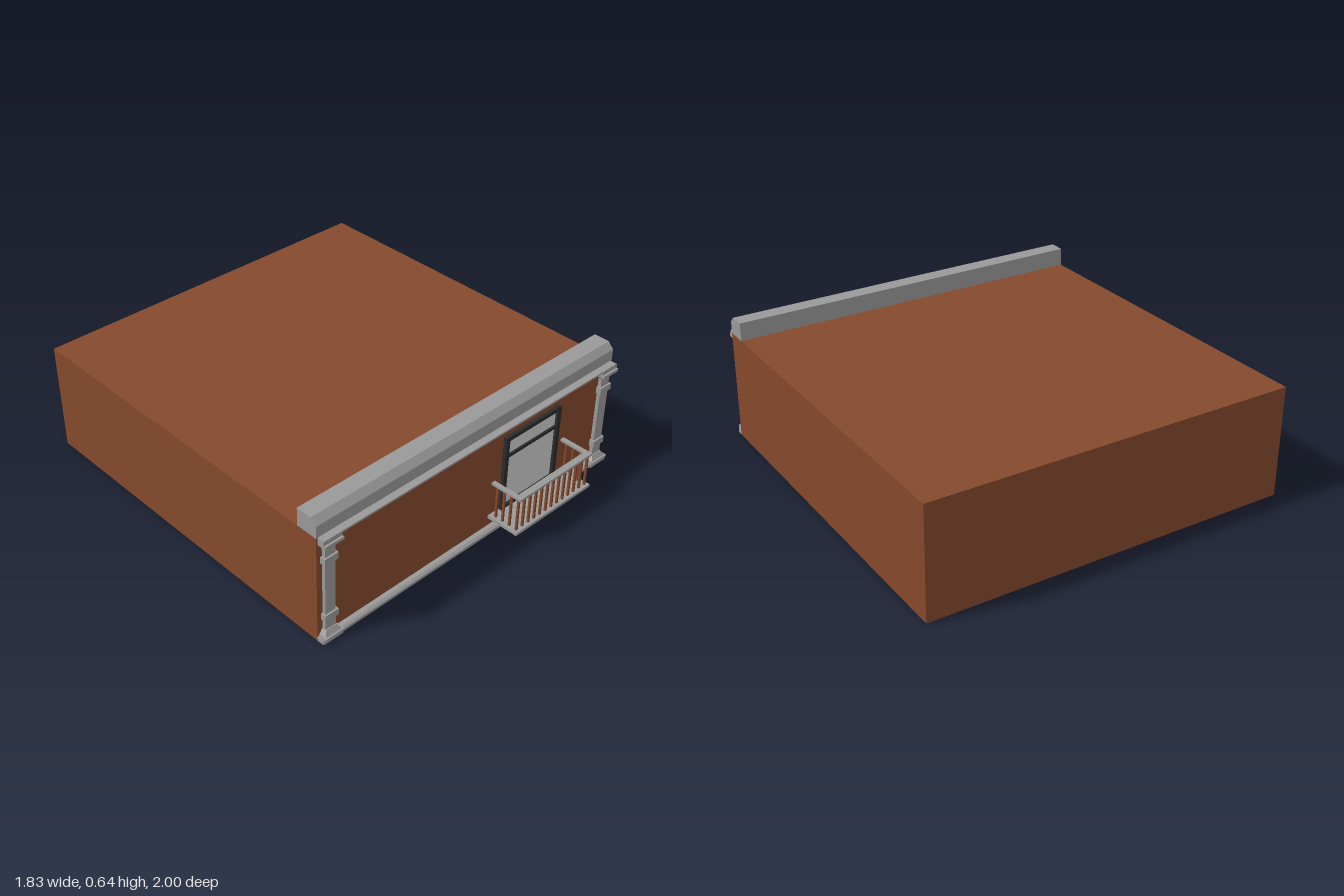
import * as THREE from 'three';

const mat = (color) => new THREE.MeshStandardMaterial({ color, flatShading: true });

export function createModel() {
  const model = new THREE.Group();
  const brick = mat(0x85492c), stone = mat(0x999999), dark = mat(0x2b2b2b), glass = mat(0xcccccc);

  // Box given by its extents on each axis
  const box = (parent, name, material, [x0, x1], [y0, y1], [z0, z1]) => {
    const mesh = new THREE.Mesh(new THREE.BoxGeometry(x1 - x0, y1 - y0, z1 - z0), material);
    mesh.position.set((x0 + x1) / 2, (y0 + y1) / 2, (z0 + z1) / 2);
    mesh.name = name;
    parent.add(mesh);
    return mesh;
  };

  // Profile of [z, y] points extruded along x
  const moulding = (name, points, halfLength) => {
    const shape = new THREE.Shape(points.map(([z, y]) => new THREE.Vector2(-z, y)));
    const geometry = new THREE.ExtrudeGeometry(shape, { depth: halfLength * 2, bevelEnabled: false });
    geometry.translate(0, 0, -halfLength).rotateY(Math.PI / 2);
    const mesh = new THREE.Mesh(geometry, stone);
    mesh.name = name;
    model.add(mesh);
  };

  box(model, 'building', brick, [-0.915, 0.915], [0, 0.55], [-1, 0.83]);

  // Parapet with sloped front edge, cornice and base course
  moulding('parapet', [[0.72, 0.55], [0.83, 0.55], [0.83, 0.61], [0.8, 0.64], [0.72, 0.64]], 0.915);
  moulding('cornice', [[0.82, 0.53], [0.85, 0.53], [0.853, 0.54], [0.865, 0.543], [0.865, 0.552], [0.82, 0.552]], 0.905);
  moulding('baseCourse', [[0.82, 0], [0.862, 0], [0.862, 0.014], [0.85, 0.022], [0.82, 0.022]], 0.915);

  // Tapered block: box whose top has its own width and front depth
  const taper = (parent, name, y0, y1, w0, w1, z0, z1) => {
    const mesh = box(parent, name, stone, [-0.5, 0.5], [y0, y1], [0, 1]);
    const p = mesh.geometry.attributes.position;
    for (let i = 0; i < p.count; i++) {
      const top = p.getY(i) > 0;
      p.setX(i, Math.sign(p.getX(i)) * (top ? w1 : w0) / 2);
      p.setZ(i, (p.getZ(i) > 0 ? (top ? z1 : z0) : 0.82) - 0.5);
    }
    mesh.geometry.computeVertexNormals();
  };

  // Corner pilasters: [name, y0, y1, bottom width, top width, bottom front, top front]
  const parts = [
    ['plinth', 0, 0.022, 0.105, 0.105, 0.868, 0.868],
    ['baseStep', 0.022, 0.032, 0.1, 0.1, 0.876, 0.876],
    ['baseFlare', 0.032, 0.055, 0.09, 0.06, 0.868, 0.852],
    ['shaft', 0.05, 0.5, 0.056, 0.056, 0.848, 0.848],
    ['lowerBand', 0.107, 0.14, 0.074, 0.074, 0.857, 0.857],
    ['upperBand', 0.412, 0.445, 0.074, 0.074, 0.857, 0.857],
    ['capitalFlare', 0.493, 0.515, 0.06, 0.09, 0.852, 0.868],
    ['capitalStep', 0.515, 0.53, 0.1, 0.1, 0.876, 0.876],
    ['capitalTop', 0.53, 0.55, 0.1, 0.1, 0.866, 0.866],
  ];
  for (const side of [-1, 1]) {
    const pilaster = new THREE.Group();
    pilaster.name = side < 0 ? 'rightPilaster' : 'leftPilaster';
    pilaster.position.x = side * 0.858;
    parts.forEach((part) => taper(pilaster, ...part));
    model.add(pilaster);
  }

  // Balcony window
  const win = new THREE.Group();
  win.name = 'window';
  model.add(win);
  box(win, 'pane', glass, [0.19, 0.54], [0.08, 0.47], [0.82, 0.834]);
  for (const x of [0.18, 0.527]) box(win, 'frameSide', dark, [x, x + 0.023], [0.075, 0.48], [0.82, 0.848]);
  for (const y of [0.075, 0.459]) box(win, 'frameRail', dark, [0.18, 0.55], [y, y + 0.021], [0.82, 0.848]);
  box(win, 'transom', dark, [0.2, 0.53], [0.362, 0.378], [0.82, 0.843]);

  // Balcony slab, handrail and balusters
  const balcony = new THREE.Group();
  balcony.name = 'balcony';
  model.add(balcony);
  box(balcony, 'floor', stone, [0.11, 0.62], [0.065, 0.08], [0.82, 1]);
  box(balcony, 'frontHandrail', stone, [0.12, 0.612], [0.25, 0.262], [0.965, 0.998]);
  for (const x of [0.12, 0.59]) box(balcony, 'sideHandrail', stone, [x, x + 0.022], [0.25, 0.262], [0.83, 0.97]);
  const baluster = (x, z) =>
    box(balcony, 'baluster', brick, [x - 0.005, x + 0.005], [0.08, 0.25], [z - 0.005, z + 0.005]);
  for (let i = 0; i < 13; i++) baluster(0.13 + i * 0.0393, 0.981);
  for (const z of [0.86, 0.9, 0.94]) for (const x of [0.13, 0.602]) baluster(x, z);

  return model;
}
